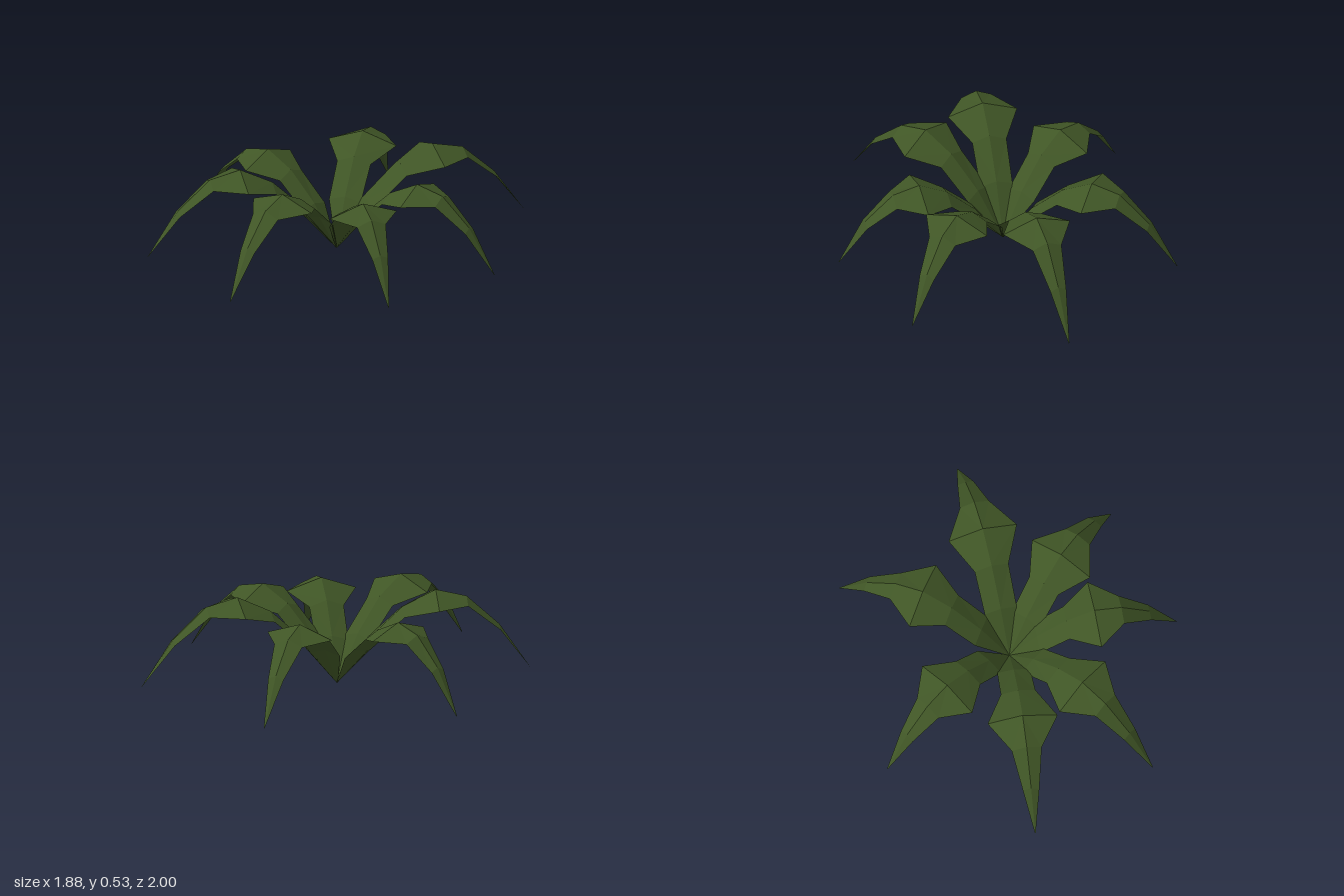
import * as THREE from 'three';

// Rows along one leaf: [fraction of reach, ridge height / reach, half width, edge drop below ridge]
const ROWS = [
  [0, 0, 0.004, 0],
  [0.165, 0.235, 0.09, 0.025],
  [0.34, 0.4, 0.095, 0.035],
  [0.51, 0.485, 0.192, 0.067],
  [0.67, 0.445, 0.082, 0.035],
  [0.84, 0.287, 0.045, 0.02],
  [1, 0, 0.002, 0],
];

// Leaf tips: x, y, z
const TIPS = [
  [0.755, 0.06, -0.765],
  [0.935, 0.035, 0.09],
  [0.565, 0.02, 0.7],
  [-0.245, 0.04, 0.995],
  [-0.89, 0.05, 0.62],
  [-0.94, 0.025, -0.27],
  [-0.15, 0.035, -1.0],
];

const ROOT = new THREE.Vector3(-0.037, 0, -0.008);

// Folded, arching leaf running along +x: a ridge with an edge on each side
function leafGeometry(reach, tipY) {
  const points = [];
  const index = [];
  ROWS.forEach(([t, h, w, drop], i) => {
    const y = i === ROWS.length - 1 ? tipY : h * reach;
    for (const side of [-1, 0, 1]) {
      points.push(t * reach, y - Math.abs(side) * drop, side * w);
    }
    if (i === 0) return;
    for (let k = 0; k < 2; k++) {
      const a = (i - 1) * 3 + k, b = a + 1, c = a + 3, d = a + 4;
      // mirrored diagonals on the two halves, meeting at the ridge
      if (k === 0) index.push(a, b, c, b, d, c);
      else index.push(a, b, d, a, d, c);
    }
  });
  const indexed = new THREE.BufferGeometry();
  indexed.setAttribute('position', new THREE.Float32BufferAttribute(points, 3));
  indexed.setIndex(index);
  const geometry = indexed.toNonIndexed();
  geometry.computeVertexNormals();
  return geometry;
}

export function createModel() {
  const plant = new THREE.Group();
  plant.name = 'leafyPlant';
  const leafGreen = new THREE.MeshStandardMaterial({
    color: 0x405626, side: THREE.DoubleSide, flatShading: true,
  });
  leafGreen.name = 'leafGreen';

  // Ring of leaves fanning out from the root
  TIPS.forEach(([x, y, z], i) => {
    const dx = x - ROOT.x, dz = z - ROOT.z;
    const leaf = new THREE.Mesh(leafGeometry(Math.hypot(dx, dz), y), leafGreen);
    leaf.name = `leaf${i + 1}`;
    leaf.position.copy(ROOT);
    leaf.rotation.y = Math.atan2(-dz, dx);
    plant.add(leaf);
  });
  return plant;
}
